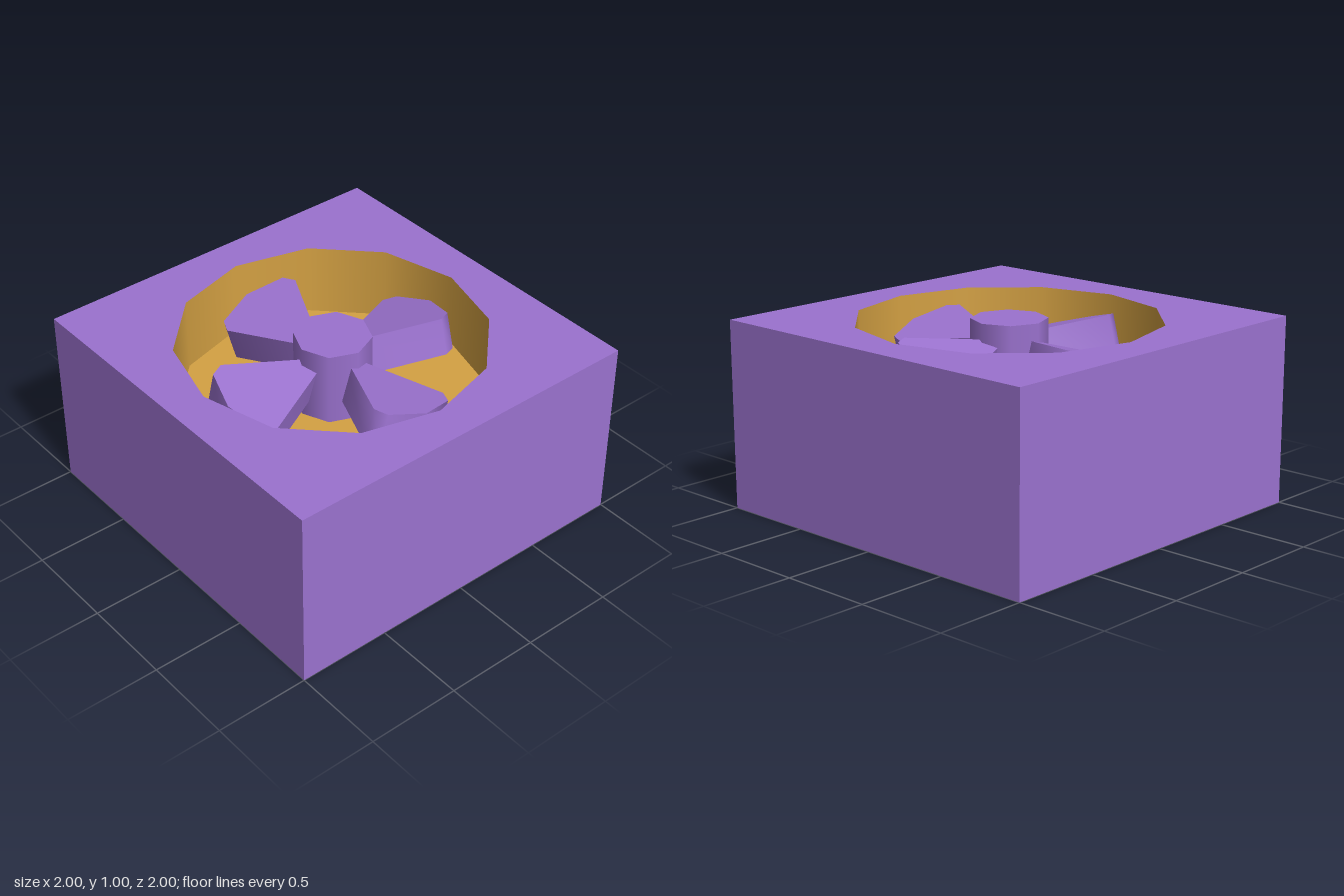
import * as THREE from 'three';
import { mergeGeometries, toCreasedNormals } from 'three/addons/utils/BufferGeometryUtils.js';

const HEIGHT = 1, FLOOR = 0.6, WELL_RADIUS = 0.8, WELL_SIDES = 12;

const purple = new THREE.MeshStandardMaterial({ color: 0x9b72cf });
purple.name = 'purple';
const gold = new THREE.MeshStandardMaterial({ color: 0xd4a143, side: THREE.DoubleSide });
gold.name = 'gold';

function addMesh(parent, name, geometry, material) {
  const mesh = new THREE.Mesh(geometry, material);
  mesh.name = name;
  parent.add(mesh);
  return mesh;
}

// Square housing: four sides, a bottom and a top with a twelve-sided opening
function housingGeometry() {
  const faces = [];
  for (let i = 0; i < 4; i++) {
    faces.push(new THREE.PlaneGeometry(2, HEIGHT).translate(0, HEIGHT / 2, 1).rotateY(i * Math.PI / 2));
  }
  faces.push(new THREE.PlaneGeometry(2, 2).rotateX(Math.PI / 2));

  const square = [[-1, -1], [1, -1], [1, 1], [-1, 1]].map(([x, y]) => new THREE.Vector2(x, y));
  const top = new THREE.Shape(square);
  const opening = [];
  for (let i = 0; i < WELL_SIDES; i++) {
    const a = -i * 2 * Math.PI / WELL_SIDES;
    opening.push(new THREE.Vector2(WELL_RADIUS * Math.cos(a), WELL_RADIUS * Math.sin(a)));
  }
  top.holes.push(new THREE.Path(opening));
  faces.push(new THREE.ShapeGeometry(top).rotateX(-Math.PI / 2).translate(0, HEIGHT, 0));
  return mergeGeometries(faces);
}

// Flared fan blade pointing along +x, pitched about its own length
function bladeGeometry() {
  const half = [[0.1, 0.022], [0.55, 0.233], [0.62, 0.202]];
  const outline = [
    ...half.map(([x, y]) => [x, -y]),
    [0.678, 0],
    ...half.map(([x, y]) => [x, y]).reverse(),
  ].map(([x, y]) => new THREE.Vector2(x, y));
  const thickness = 0.2;
  const blade = new THREE.ExtrudeGeometry(new THREE.Shape(outline), { depth: thickness, bevelEnabled: false });
  blade.translate(0, 0, -thickness / 2);
  blade.rotateX(-Math.PI / 2 - THREE.MathUtils.degToRad(15));
  return toCreasedNormals(blade, 1.0);
}

export function createModel() {
  const model = new THREE.Group();
  model.name = 'fanBlock';

  addMesh(model, 'housing', housingGeometry(), purple);

  // Round well sunk into the top
  const depth = HEIGHT - FLOOR;
  const wall = new THREE.CylinderGeometry(WELL_RADIUS, WELL_RADIUS, depth, WELL_SIDES, 1, true);
  addMesh(model, 'wellWall', wall, gold).position.y = FLOOR + depth / 2;
  const floor = new THREE.CircleGeometry(WELL_RADIUS, WELL_SIDES).rotateX(-Math.PI / 2);
  addMesh(model, 'wellFloor', floor, gold).position.y = FLOOR;

  // Fan: eight-sided hub and four pitched blades
  const fan = new THREE.Group();
  fan.name = 'fan';
  fan.position.y = FLOOR + depth / 2;
  model.add(fan);
  addMesh(fan, 'hub', new THREE.CylinderGeometry(0.2, 0.2, depth, 8), purple);
  const blade = bladeGeometry();
  for (let i = 0; i < 4; i++) {
    addMesh(fan, 'blade', blade, purple).rotation.y = i * Math.PI / 2;
  }
  return model;
}
